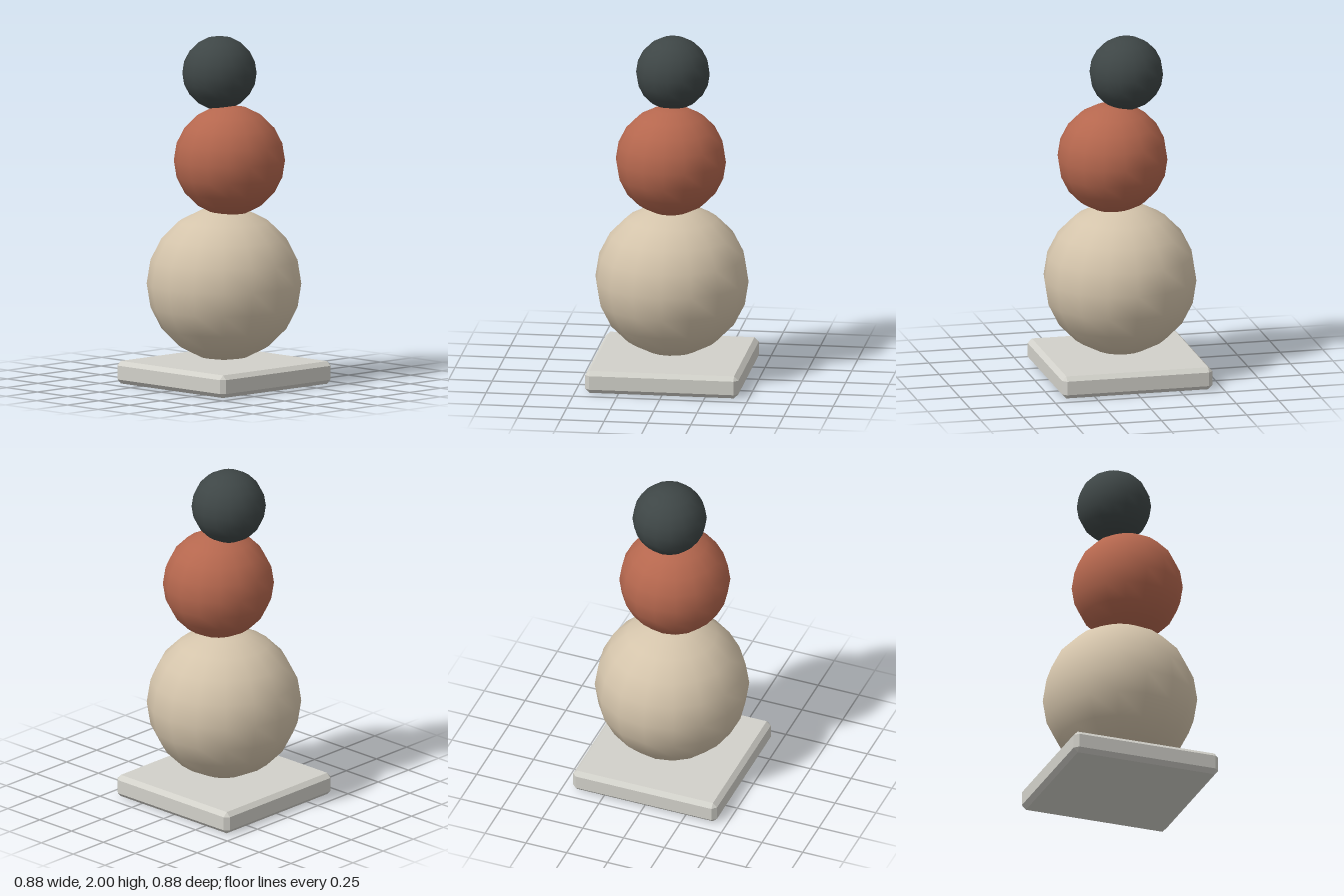
import * as THREE from 'three';
import { ConvexGeometry } from 'three/addons/geometries/ConvexGeometry.js';

function material(name, color) {
  const m = new THREE.MeshStandardMaterial({ color });
  m.name = name;
  return m;
}

// Box with flat chamfers on every edge and corner
function chamferedBox(w, h, d, c) {
  const points = [];
  for (const sx of [-1, 1]) for (const sy of [-1, 1]) for (const sz of [-1, 1]) {
    for (let axis = 0; axis < 3; axis++) {
      const [x, y, z] = [w, h, d].map((size, i) => size / 2 - (i === axis ? 0 : c));
      points.push(new THREE.Vector3(sx * x, sy * y, sz * z));
    }
  }
  return new ConvexGeometry(points);
}

export function createModel() {
  const group = new THREE.Group();
  group.name = 'stackedBalls';

  // Square plinth
  const base = new THREE.Mesh(chamferedBox(0.882, 0.13, 0.882, 0.025), material('pale stone', 0xd2d1ca));
  base.name = 'base';
  base.position.y = 0.067;
  group.add(base);

  // Three balls of decreasing size, stacked slightly off-centre
  const balls = [
    ['lowerBall', 0.441, 0, 0.579, material('sand', 0xd4c4ab)],
    ['middleBall', 0.317, 0.044, 1.293, material('terracotta', 0xb5674e)],
    ['upperBall', 0.212, -0.037, 1.788, material('charcoal', 0x3e4646)],
  ];
  for (const [name, radius, x, y, mat] of balls) {
    const ball = new THREE.Mesh(new THREE.SphereGeometry(radius, 16, 10), mat);
    ball.name = name;
    ball.position.set(x, y, 0);
    group.add(ball);
  }
  return group;
}
